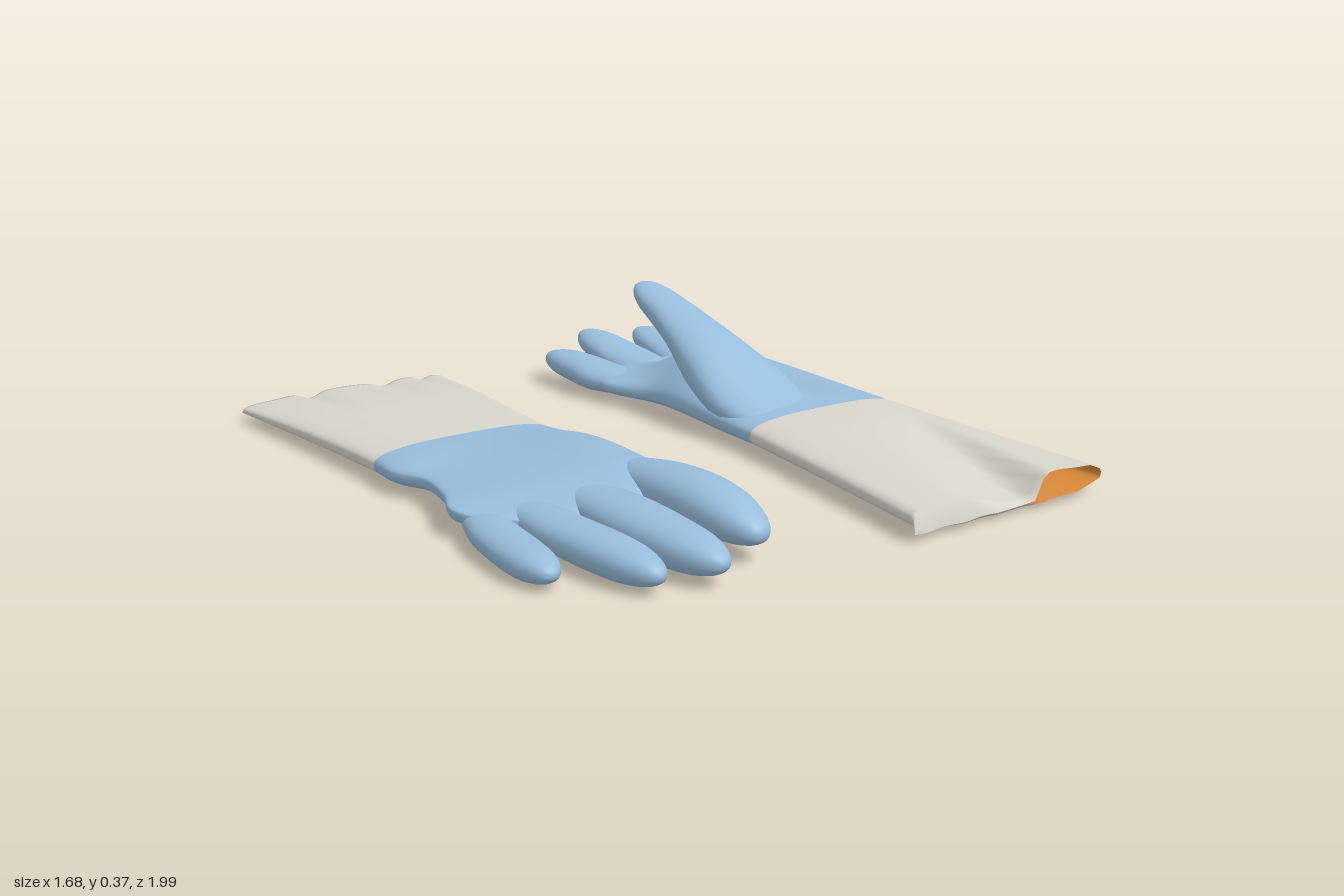
import * as THREE from 'three';

const blue = new THREE.MeshStandardMaterial({ color: 0x97bddb });
blue.name = 'blue rubber';
const cream = new THREE.MeshStandardMaterial({ color: 0xd8d6cb });
cream.name = 'cream cuff';
const orange = new THREE.MeshStandardMaterial({ color: 0xd98a3a });
orange.name = 'orange lining';

// Smooth curve through a list of equal-length rows
function sample(keys, u) {
  const last = keys.length - 1;
  const f = Math.min(u * last, last - 1e-9);
  const i = Math.floor(f), t = f - i;
  const at = (k) => keys[Math.max(0, Math.min(last, k))];
  const [a, b, c, d] = [at(i - 1), at(i), at(i + 1), at(i + 2)];
  return b.map((_, k) => 0.5 * (2 * b[k] + (c[k] - a[k]) * t
    + (2 * a[k] - 5 * b[k] + 4 * c[k] - d[k]) * t * t
    + (3 * b[k] - a[k] - 3 * c[k] + d[k]) * t * t * t));
}

// Skin of rounded cross-sections; each key is [z, x, y, half width, half height]
function loft(name, keys, material, { cap = 0, power = 1, rings = 24, sides = 28, bend = null, inside = false } = {}) {
  const pos = [], index = [];
  for (let s = 0; s <= rings; s++) {
    const u = cap ? Math.sin((s / rings) * Math.PI / 2) : s / rings;
    const [z, x, y, rx, ry] = sample(keys, u);
    const v = cap ? Math.max(0, (u - 1 + cap) / cap) : 0;
    const k = Math.sqrt(Math.max(0, 1 - v * v));
    for (let j = 0; j < sides; j++) {
      const a = (j / sides) * Math.PI * 2;
      const c = Math.cos(a), w = Math.sin(a);
      const p = new THREE.Vector3(
        x + rx * k * Math.sign(c) * Math.abs(c) ** power,
        y + ry * k * Math.sign(w) * Math.abs(w) ** power, z);
      if (bend) bend(p, w, u);
      pos.push(p.x, p.y, p.z);
    }
  }
  const flip = (keys[keys.length - 1][0] < keys[0][0]) !== inside;
  for (let s = 0; s < rings; s++) {
    for (let j = 0; j < sides; j++) {
      const a = s * sides + j, b = s * sides + (j + 1) % sides;
      const c = a + sides, d = b + sides;
      if (flip) index.push(a, d, b, a, c, d);
      else index.push(a, b, d, a, d, c);
    }
  }
  const geo = new THREE.BufferGeometry();
  geo.setAttribute('position', new THREE.Float32BufferAttribute(pos, 3));
  geo.setIndex(index);
  geo.computeVertexNormals();
  const mesh = new THREE.Mesh(geo, material);
  mesh.name = name;
  return mesh;
}

// Turn [z, left x, right x, bottom y, top y] into a loft key
const span = ([z, l, r, b, t]) => [z, (l + r) / 2, (b + t) / 2, (r - l) / 2, (t - b) / 2];
const bell = (v, mid, width) => Math.exp(-(((v - mid) / width) ** 2));
const { clamp, lerp, smoothstep } = THREE.MathUtils;

function fingers(group, list) {
  for (const [name, keys] of Object.entries(list)) {
    group.add(loft(name, keys, blue, { cap: name === 'thumb' ? 0.16 : 0.26, power: 0.9, sides: 28 }));
  }
}

// Glove lying palm up, fingers to the back, thumb raised
function palmUpGlove() {
  const g = new THREE.Group();
  g.name = 'palmUpGlove';
  const cuffKeys = [
    [0.99, 0.14, 0.838, 0.022, 0.108], [0.72, 0.18, 0.828, 0.02, 0.11],
    [0.45, 0.215, 0.818, 0.02, 0.112], [0.19, 0.245, 0.81, 0.02, 0.115],
  ].map(span);
  const crease = (p, w, u) => {
    // A ridge runs from the wrist to the opening; beside it the top sinks to a shut lip
    const t = clamp((p.z - 0.35) / 0.64, 0, 1);
    const ridge = lerp(0.72, 0.585, t);
    const shut = 1 - smoothstep(p.x, ridge - 0.03, ridge + 0.025);
    const lip = lerp(0.088, 0.036, smoothstep(p.x, ridge - 0.32, ridge - 0.03));
    if (w > 0) p.y -= Math.max(0, p.y - lip) * t ** 1.2 * shut;
    if (u === 0) p.y = lerp(p.y, 0.032, shut);
    p.z += t * t * 0.004 * Math.sin(p.x * 45);
  };
  g.add(loft('cuff', cuffKeys, cream, { power: 0.7, rings: 40, sides: 96, bend: crease }));
  const lining = cuffKeys.map(([z, x, y, rx, ry]) => [z, x, y, rx - 0.004, ry - 0.004]);
  g.add(loft('cuffLining', lining, orange, { power: 0.7, cap: 0.1, rings: 40, sides: 96, bend: crease, inside: true }));

  g.add(loft('palm', [
    [0.19, 0.245, 0.81, 0.02, 0.115], [0.02, 0.25, 0.81, 0.02, 0.118],
    [-0.18, 0.265, 0.818, 0.02, 0.118], [-0.34, 0.26, 0.825, 0.022, 0.115],
    [-0.5, 0.2, 0.832, 0.028, 0.11], [-0.67, 0.185, 0.832, 0.036, 0.108],
  ].map(span), blue, {
    power: 0.7, cap: 0.2, rings: 40, sides: 80, bend: (p, w) => {
      // Swelling at the root of the thumb and hollow in the palm
      if (w > 0) {
        p.y += w * (0.11 * bell(p.x, 0.39, 0.12) * bell(p.z, -0.27, 0.17)
          + 0.035 * bell(p.x, 0.39, 0.13) * bell(p.z, -0.02, 0.12)
          - 0.02 * bell(p.x, 0.64, 0.1) * bell(p.z, -0.15, 0.2));
      }
    },
  }));
  fingers(g, {
    indexFinger: [[-0.42, 0.33, 0.07, 0.05, 0.03], [-0.58, 0.268, 0.072, 0.083, 0.042], [-0.74, 0.25, 0.08, 0.071, 0.045], [-0.89, 0.228, 0.09, 0.047, 0.036]],
    middleFinger: [[-0.45, 0.43, 0.068, 0.08, 0.035], [-0.66, 0.432, 0.076, 0.09, 0.046], [-0.82, 0.422, 0.1, 0.076, 0.045], [-0.97, 0.415, 0.125, 0.052, 0.037]],
    ringFinger: [[-0.45, 0.6, 0.066, 0.07, 0.035], [-0.64, 0.612, 0.07, 0.08, 0.044], [-0.8, 0.622, 0.09, 0.069, 0.045], [-0.93, 0.62, 0.115, 0.05, 0.036]],
    littleFinger: [[-0.4, 0.745, 0.068, 0.06, 0.035], [-0.56, 0.762, 0.074, 0.07, 0.042], [-0.68, 0.767, 0.085, 0.064, 0.043], [-0.79, 0.762, 0.1, 0.046, 0.036]],
    thumb: [[0.2, 0.4, 0.065, 0.1, 0.025], [0.02, 0.41, 0.11, 0.16, 0.07], [-0.15, 0.392, 0.185, 0.13, 0.093],
      [-0.3, 0.388, 0.267, 0.1, 0.06], [-0.46, 0.404, 0.315, 0.078, 0.048], [-0.607, 0.408, 0.363, 0.06, 0.036]],
  });
  return g;
}

// Glove lying palm down, fingers to the front, thumb tucked beneath
function palmDownGlove() {
  const g = new THREE.Group();
  g.name = 'palmDownGlove';
  g.add(loft('cuff', [
    [-0.995, -0.84, -0.138, 0.018, 0.072], [-0.72, -0.815, -0.16, 0.016, 0.095],
    [-0.46, -0.79, -0.185, 0.016, 0.105], [-0.2, -0.772, -0.202, 0.018, 0.11],
  ].map(span), cream, {
    power: 0.7, rings: 40, sides: 96, bend: (p, w, u) => {
      // Pleats gathered along the mouth, which is pressed shut
      const t = clamp((-p.z - 0.65) / 0.35, 0, 1);
      if (w > 0) p.y -= w * t * 0.022 * (bell(p.x, -0.62, 0.03) + bell(p.x, -0.36, 0.04) + bell(p.x, -0.22, 0.025));
      if (u === 0) p.y = 0.04;
      p.z += t * t * 0.004 * Math.sin(p.x * 40);
    },
  }));
  g.add(loft('backOfHand', [
    [-0.2, -0.772, -0.202, 0.018, 0.11], [-0.08, -0.774, -0.198, 0.02, 0.118],
    [0.03, -0.735, -0.192, 0.022, 0.125], [0.18, -0.757, -0.195, 0.024, 0.134],
    [0.34, -0.797, -0.2, 0.026, 0.136], [0.55, -0.82, -0.2, 0.026, 0.126],
  ].map(span), blue, {
    power: 0.7, cap: 0.2, rings: 40, sides: 80, bend: (p, w, u) => {
      // Higher towards the index finger, shorter towards the little finger
      const s = smoothstep(u, 0, 0.6);
      if (w > 0) p.y += w * s * 0.14 * (p.x + 0.48);
      if (u > 0.6) p.z += (u - 0.6) * 0.9 * Math.min(0, p.x + 0.45);
    },
  }));
  fingers(g, {
    littleFinger: [[0.2, -0.7, 0.06, 0.03, 0.02], [0.4, -0.748, 0.055, 0.062, 0.036], [0.6, -0.77, 0.052, 0.064, 0.041], [0.755, -0.78, 0.055, 0.046, 0.036]],
    ringFinger: [[0.3, -0.62, 0.07, 0.06, 0.03], [0.55, -0.622, 0.066, 0.072, 0.046], [0.75, -0.608, 0.066, 0.069, 0.049], [0.92, -0.59, 0.062, 0.047, 0.04]],
    middleFinger: [[0.3, -0.46, 0.08, 0.07, 0.035], [0.58, -0.465, 0.082, 0.087, 0.058], [0.8, -0.46, 0.08, 0.077, 0.056], [0.97, -0.445, 0.075, 0.051, 0.042]],
    indexFinger: [[0.28, -0.285, 0.09, 0.065, 0.04], [0.52, -0.285, 0.11, 0.085, 0.066], [0.72, -0.283, 0.113, 0.084, 0.066], [0.9, -0.275, 0.09, 0.058, 0.046]],
    thumb: [[-0.12, -0.29, 0.055, 0.07, 0.025], [0.06, -0.32, 0.05, 0.1, 0.034], [0.24, -0.4, 0.046, 0.085, 0.032], [0.42, -0.47, 0.044, 0.055, 0.03]],
  });
  return g;
}

export function createModel() {
  const model = new THREE.Group();
  model.name = 'pairOfGloves';
  model.add(palmUpGlove(), palmDownGlove());
  return model;
}
